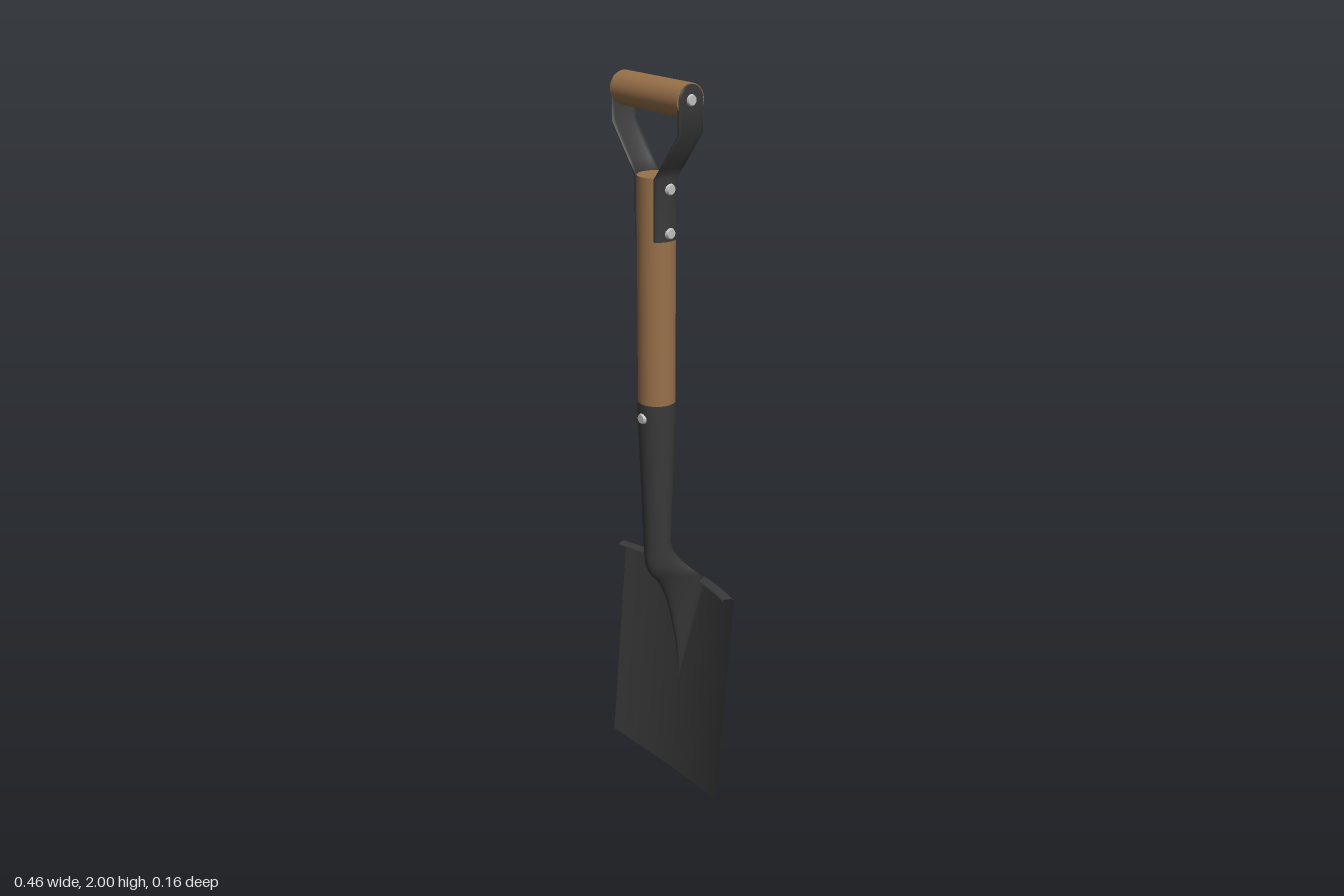
import * as THREE from 'three';

const mat = (name, color, side = THREE.FrontSide) => {
  const m = new THREE.MeshStandardMaterial({ color, side });
  m.name = name;
  return m;
};

const HW = 0.23;      // blade half width
const TOP = 0.645;    // blade top edge
const AXIS = 0.028;   // z of the handle axis
const lerp = THREE.MathUtils.lerp;

// Surface through rows of [x, y, z] points
function loft(rows) {
  const n = rows[0].length, index = [];
  for (let i = 0; i < rows.length - 1; i++)
    for (let j = 0; j < n - 1; j++) {
      const a = i * n + j, b = a + n;
      index.push(a, a + 1, b, a + 1, b + 1, b);
    }
  const g = new THREE.BufferGeometry();
  g.setAttribute('position', new THREE.Float32BufferAttribute(rows.flat(2), 3));
  g.setIndex(index);
  g.computeVertexNormals();
  return g;
}
const steps = (n, f) => Array.from({ length: n + 1 }, (_, i) => f(i / n));

// Dished blade face leaning backwards, and half width of its central groove
const bladeZ = (x, y) => -0.025 - 0.057 * y / TOP + 0.034 * (x / HW) ** 2;
const grooveW = y => Math.max(0, 0.08 * (y - 0.3) / (TOP - 0.3));

export function createModel() {
  const group = new THREE.Group();
  const steel = mat('dark steel', 0x3a3a3a, THREE.DoubleSide);
  const wood = mat('wood', 0x99714a);
  const rivetGrey = mat('rivet grey', 0xc0c0c0);
  const add = (name, geo, material, x = 0, y = 0, z = 0) => {
    const m = new THREE.Mesh(geo, material);
    m.name = name;
    m.position.set(x, y, z);
    group.add(m);
    return m;
  };

  // Blade wings with forward-folded treads
  const ys = [0, 0.1, 0.2, 0.3, 0.4, 0.48, 0.57, 0.62, TOP];
  for (const s of [-1, 1]) {
    const side = s > 0 ? 'left' : 'right';
    add(side + 'BladeWing', loft(ys.map(y0 => steps(10, u => {
      const x = lerp(grooveW(y0), HW, u);
      const y = y0 === 0 ? 0.03 * (x / HW) ** 2 : y0;
      return [s * x, y, bladeZ(x, y)];
    }))), steel);

    const treadRow = (inner, outer, dy, dz) => steps(6, u => {
      const x = lerp(inner, outer, u);
      return [s * x, TOP + dy, bladeZ(x, TOP) + dz];
    });
    add(side + 'Tread', loft([
      treadRow(0.08, HW, 0, 0), treadRow(0.085, 0.228, 0.007, 0.01),
      treadRow(0.1, 0.222, 0.009, 0.034), treadRow(0.1, 0.222, 0.003, 0.036),
    ]), steel);
  }

  // Groove that rises out of the blade and closes into the round socket
  const groove = [[0.3, 0], [0.35, 0.006], [0.4, 0.015], [0.44, 0.025], [0.48, 0.037],
    [0.525, 0.05], [0.57, 0.067], [0.62, 0.092], [TOP, 0.113]].map(([y, d]) => {
    const w = grooveW(y);
    return { y, w, zb: bladeZ(w, y), d, k: 1, r: 0.038 };
  });
  const neck = [
    [0.655, 0.078, -0.075, 0.118, 0.9, 0.038], [0.67, 0.075, -0.067, 0.117, 0.7, 0.038],
    [0.695, 0.08, -0.06, 0.118, 0.4, 0.038], [0.725, 0.06, -0.05, 0.114, 0.15, 0.037],
    [0.76, 0, 0, 0, 0, 0.037], [0.9, 0, 0, 0, 0, 0.042],
    [1.1, 0, 0, 0, 0, 0.049], [1.17, 0, 0, 0, 0, 0.051],
  ].map(([y, w, zb, d, k, r]) => ({ y, w, zb, d, k, r }));
  add('socket', loft([...groove, ...neck].map(({ y, w, zb, d, k, r }) => steps(28, u => {
    const t = 2 * u - 1, c = Math.cos(Math.PI * t);
    return [
      lerp(r * Math.sin(Math.PI * t), w * t, k), y,
      lerp(AXIS + r * c, zb + d * (0.5 + 0.5 * c), k),
    ];
  }))), steel);

  // Wooden shaft and its core inside the open-backed socket
  add('shaft', new THREE.CylinderGeometry(0.049, 0.049, 0.6, 16), wood, 0, 1.463, AXIS);
  add('shaftCore', new THREE.CylinderGeometry(0.046, 0.031, 0.43, 16), wood, 0, 0.955, AXIS);
  const tip = add('shaftTip', new THREE.CylinderGeometry(0.03, 0.012, 0.12, 14), wood, 0, 0.685, 0.008);
  tip.rotation.x = Math.atan2(0.044, 0.105);

  // Cross grip
  const grip = add('grip', new THREE.CylinderGeometry(0.042, 0.042, 0.252, 24), wood, 0, 1.958, AXIS);
  grip.rotation.z = Math.PI / 2;

  // Straps: wrapped round the shaft, splayed outwards, rounded at the grip
  const strapRows = [[1.605, 0.054, 1, 0.037], [1.76, 0.054, 1, 0.037], [1.79, 0.068, 0.4, 0.037],
    [1.88, 0.129, 0, 0.037],
    ...steps(8, u => [1.96 + 0.037 * Math.sin(u * Math.PI / 2), 0.129, 0,
      Math.max(0.002, 0.037 * Math.cos(u * Math.PI / 2))])];
  for (const s of [-1, 1]) {
    const side = s > 0 ? 'left' : 'right';
    add(side + 'Strap', loft(strapRows.map(([y, x0, curve, h]) => {
      const outer = steps(8, u => {
        const z = lerp(-h, h, u);
        return [s * (x0 - curve * (0.054 - Math.sqrt(0.054 ** 2 - z * z))), y, AXIS + z];
      });
      const inner = outer.map(([x, yy, z]) => [x - s * 0.006, yy, z]).reverse();
      return [...outer, ...inner, outer[0]];
    })), steel);
    // Rivets of the strap
    for (const [y, x] of [[1.96, 0.13], [1.735, 0.055], [1.625, 0.055]]) {
      const r = add(side + 'StrapRivet', new THREE.CylinderGeometry(0.012, 0.016, 0.008, 14), rivetGrey, s * x, y, AXIS);
      r.rotation.z = -s * Math.PI / 2;
    }
    // Rivet of the socket, front and back
    const r = add(s > 0 ? 'frontSocketRivet' : 'backSocketRivet',
      new THREE.CylinderGeometry(0.012, 0.016, 0.008, 14), rivetGrey, 0, 1.13, AXIS + s * 0.051);
    r.rotation.x = s * Math.PI / 2;
  }
  return group;
}
